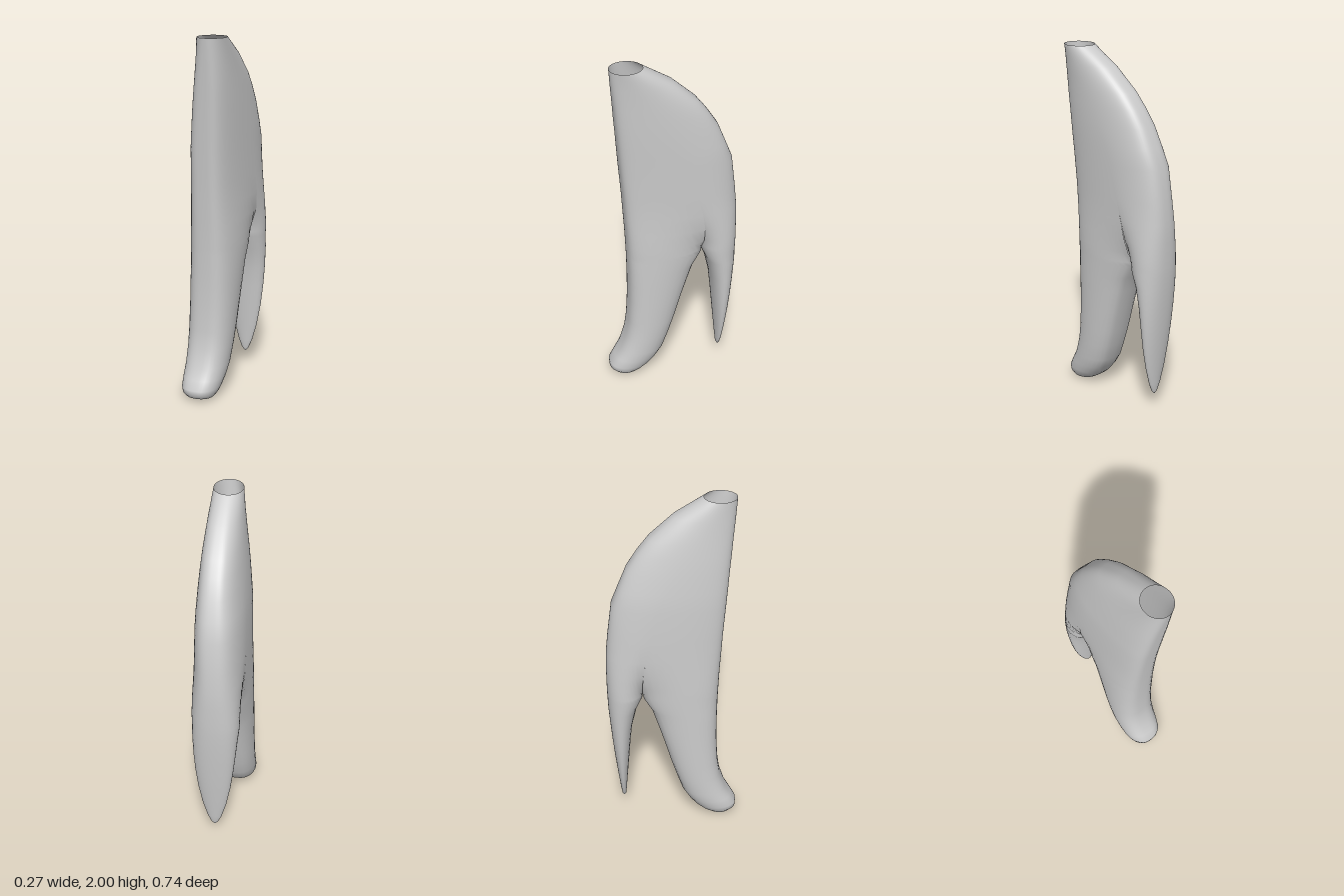
import * as THREE from 'three';
import { mergeGeometries, mergeVertices } from 'three/addons/utils/BufferGeometryUtils.js';

const SEGMENTS = 32;

// Upper body: y, front z, seam z, rear z, left x, right x, openness of seam, front and rear squareness
const body = [
  [0.82, 0.252, -0.17, -0.37, -0.139, 0.126, 0, 0.6, 0.8],
  [0.85, 0.253, -0.17, -0.371, -0.139, 0.127, 0.14, 0.6, 0.8],
  [0.91, 0.255, -0.17, -0.372, -0.139, 0.128, 0.38, 0.58, 0.8],
  [1.0, 0.259, -0.165, -0.372, -0.139, 0.129, 0.68, 0.55, 0.78],
  [1.1, 0.265, -0.15, -0.37, -0.139, 0.13, 0.9, 0.52, 0.75],
  [1.22, 0.272, -0.12, -0.358, -0.137, 0.132, 1, 0.52, 0.72],
  [1.4, 0.286, -0.08, -0.335, -0.129, 0.134, 1, 0.52, 0.68],
  [1.5, 0.294, -0.04, -0.295, -0.117, 0.135, 1, 0.53, 0.66],
  [1.61, 0.302, 0.02, -0.25, -0.102, 0.134, 1, 0.55, 0.65],
  [1.7, 0.31, 0.06, -0.192, -0.088, 0.133, 1, 0.57, 0.65],
  [1.78, 0.316, 0.1, -0.13, -0.074, 0.131, 1, 0.6, 0.65],
  [1.9, 0.327, 0.175, 0, -0.053, 0.128, 1, 0.75, 0.75],
  [2.0, 0.335, 0.247, 0.16, -0.035, 0.125, 1, 1, 1],
];

// Lower lobes: y, outer z, inner z, left x, right x, squareness
const longLobe = [
  [0, 0.27, 0.268, -0.021, -0.019, 1],
  [0.004, 0.31, 0.235, -0.07, 0.03, 0.9],
  [0.018, 0.348, 0.2, -0.1, 0.058, 0.85],
  [0.04, 0.37, 0.165, -0.117, 0.075, 0.8],
  [0.07, 0.37, 0.13, -0.127, 0.085, 0.75],
  [0.12, 0.34, 0.09, -0.133, 0.094, 0.7],
  [0.18, 0.305, 0.054, -0.136, 0.1, 0.68],
  [0.28, 0.272, 0.02, -0.138, 0.106, 0.65],
  [0.38, 0.258, -0.012, -0.139, 0.111, 0.64],
  [0.53, 0.25, -0.055, -0.139, 0.117, 0.62],
  [0.65, 0.249, -0.092, -0.139, 0.121, 0.6],
  [0.74, 0.25, -0.122, -0.139, 0.124, 0.6],
];
const shortLobe = [
  [0.08, -0.291, -0.289, -0.003, 0.003, 1],
  [0.1, -0.302, -0.278, -0.02, 0.02, 1],
  [0.15, -0.309, -0.274, -0.042, 0.042, 1],
  [0.25, -0.321, -0.266, -0.07, 0.07, 1],
  [0.38, -0.336, -0.255, -0.094, 0.094, 0.95],
  [0.5, -0.348, -0.245, -0.11, 0.108, 0.9],
  [0.62, -0.358, -0.232, -0.122, 0.117, 0.85],
  [0.74, -0.367, -0.205, -0.132, 0.123, 0.82],
];

// One side of the shell: each row sweeps from the seam around the outer edge and back to the seam
function loft(rows, side) {
  const positions = [];
  const index = [];
  rows.forEach(([y, outer, inner, left, right, square, open]) => {
    const centre = (left + right) / 2;
    const half = (right - left) / 2;
    const reach = Math.PI * (1 - open / 2);
    for (let j = 0; j <= SEGMENTS; j++) {
      const s = (2 * j) / SEGMENTS - 1;
      const a = reach * Math.pow(Math.abs(s), 1.3);
      const x = Math.sign(s) * half * Math.pow(Math.max(0, Math.sin(a)), square);
      const z = outer + ((inner - outer) * (1 - Math.cos(a))) / (1 - Math.cos(reach));
      positions.push(centre + side * x, y, z);
    }
  });
  const n = SEGMENTS + 1;
  for (let i = 0; i < rows.length - 1; i++) {
    for (let j = 0; j < SEGMENTS; j++) {
      const a = i * n + j;
      index.push(a, a + 1, a + n, a + 1, a + n + 1, a + n);
    }
  }
  const geometry = new THREE.BufferGeometry();
  geometry.setAttribute('position', new THREE.Float32BufferAttribute(positions, 3));
  geometry.setIndex(index);
  return geometry;
}

export function createModel() {
  const group = new THREE.Group();
  group.name = 'forkedSleeve';
  const material = new THREE.MeshStandardMaterial({ color: 0xcccccc, side: THREE.DoubleSide });

  // Front half runs down into the long lobe, rear half into the short pointed lobe
  const front = [
    ...longLobe.map((r) => [...r, 0]),
    ...body.map(([y, f, seam, , l, r, open, ef]) => [y, f, seam, l, r, ef, open]),
  ];
  const rear = [
    ...shortLobe.map((r) => [...r, 0]),
    ...body.map(([y, , seam, b, l, r, open, , er]) => [y, b, seam, l, r, er, open]),
  ];

  // Weld both halves along the seam so the shell shades smoothly; the top stays open
  const shell = mergeVertices(mergeGeometries([loft(front, 1), loft(rear, -1)]), 1e-5);
  shell.computeVertexNormals();
  const mesh = new THREE.Mesh(shell, material);
  mesh.name = 'forkedShell';
  group.add(mesh);
  return group;
}
